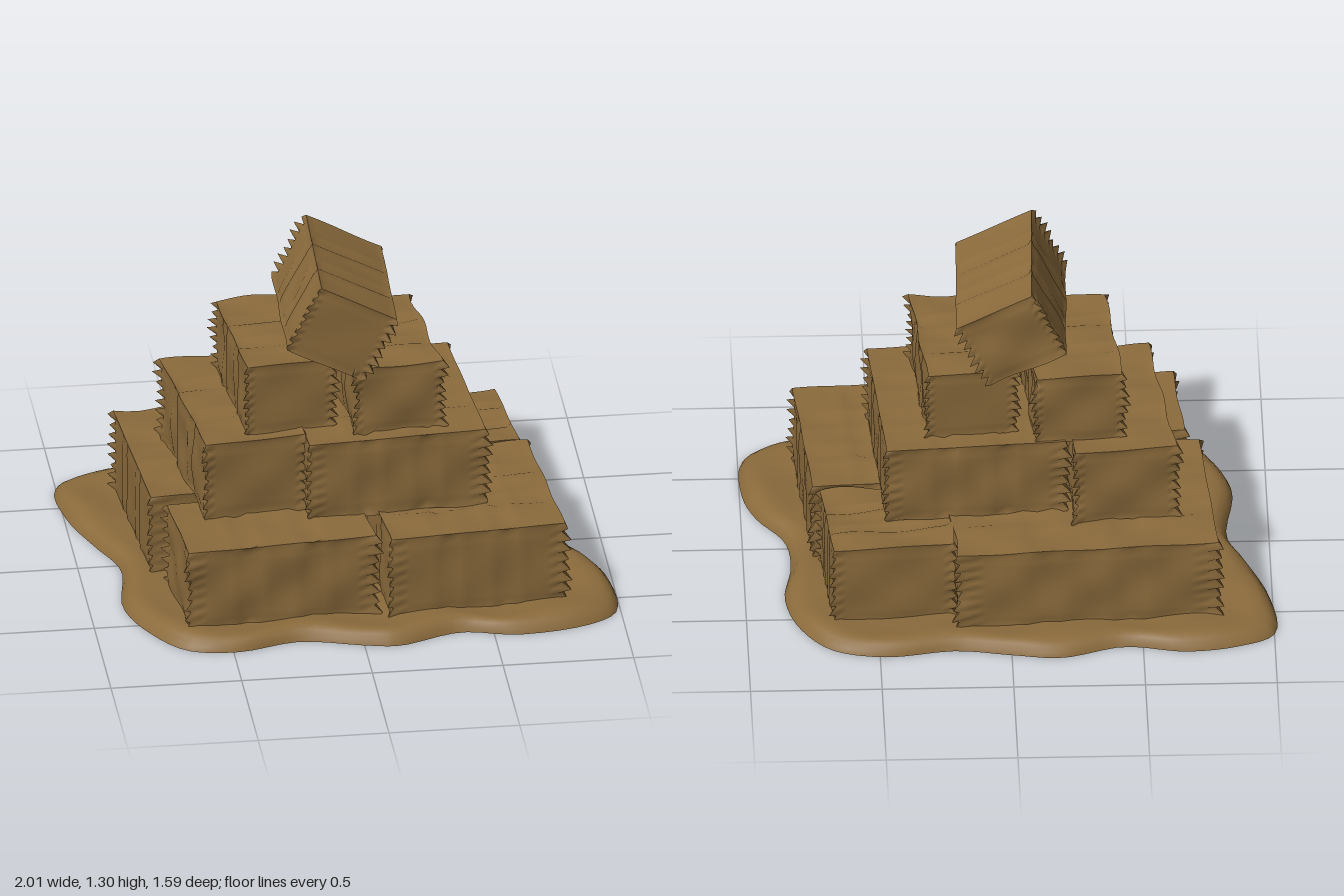
import * as THREE from 'three';

const straw = new THREE.MeshStandardMaterial({ color: 0x8b6b3c });
straw.name = 'straw';

const ripple = (x, y, z, s) =>
  Math.sin(x * 17 + s * 2.1) * Math.sin(y * 23 + s) * Math.cos(z * 19 + s * 1.3);

// Depth of the binding at a third and two thirds of a length: a groove between two swollen rows
function binding(i, n) {
  const d = Math.min(Math.abs(i - n / 3), Math.abs(i - (2 * n) / 3));
  return d < 0.1 ? -0.008 : d < 1.1 ? 0.004 : 0;
}

// A pillowy block with pinched seams, binding grooves and frayed upright corners
function baleGeometry(w, h, d, seed, alongX, alongZ) {
  const nx = 18, ny = 16, nz = 18;
  const geo = new THREE.BoxGeometry(w, h, d, nx, ny, nz);
  const p = geo.attributes.position;
  for (let k = 0; k < p.count; k++) {
    const x = p.getX(k), y = p.getY(k), z = p.getZ(k);
    const u = (2 * x) / w, v = (2 * y) / h, t = (2 * z) / d;
    const i = Math.round(((u + 1) * nx) / 2);
    const j = Math.round(((v + 1) * ny) / 2);
    const l = Math.round(((t + 1) * nz) / 2);
    const onX = i === 0 || i === nx, onY = j === 0 || j === ny, onZ = l === 0 || l === nz;
    const faces = onX + onY + onZ;
    let push = 0.008 * ripple(x, y, z, seed) - 0.004;
    if (faces === 1) {
      if (alongZ && !onZ) push += binding(l, nz);
      if (alongX && !onX) push += binding(i, nx);
    } else {
      push += 0.003;
      if (onX && onZ && !onY) {
        const r = Math.abs(Math.sin(j * 12.99 + seed * 7.3 + i + l * 3));
        push += j % 2 ? 0.006 + 0.014 * r : -0.012;
      }
    }
    // Soft rounding toward the upper and lower rims
    const rim = onY || j === 1 || j === ny - 1 ? -0.003 : 0;
    p.setXYZ(k,
      x + (onX ? Math.sign(u) * (push + rim) : 0),
      y + (onY ? Math.sign(v) * push : 0),
      z + (onZ ? Math.sign(t) * (push + rim) : 0));
  }
  geo.computeVertexNormals();
  return geo;
}

// Uneven trampled mound under the stack
function moundGeometry() {
  const outline = [
    -1, -.66, -.86, -.74, -.66, -.77, -.43, -.73, -.19, -.8, 0, -.775, .21, -.74, .48, -.775,
    .68, -.72, .8, -.56, .85, -.35, .82, -.13, .84, .05, .94, .21, .99, .37, .98, .62,
    .86, .71, .59, .755, .375, .71, .13, .79, 0, .77, -.24, .71, -.48, .765, -.67, .73,
    -.8, .56, -.87, .35, -.84, .03, -.91, -.16, -.99, -.4,
  ];
  const pts = [];
  for (let i = 0; i < outline.length; i += 2) pts.push(new THREE.Vector3(outline[i], 0, outline[i + 1]));
  const curve = new THREE.CatmullRomCurve3(pts, true);
  const n = 120;
  const edge = curve.getPoints(n);
  // Scale and height of each ring, from the underside centre round to the top centre
  const rings = [[0, 0], [1, 0], [1, 0], [.99, .018], [.97, .038], [.94, .05], [.9, .053], [.84, .047], [.75, .043], [.5, .04], [0, .04]];
  const pos = [], idx = [];
  rings.forEach(([s, y], r) => {
    for (let i = 0; i <= n; i++) {
      const x = edge[i].x * s, z = edge[i].z * s;
      const bump = r > 3 && s > 0 ? 0.007 * Math.sin(x * 13 + 1) * Math.cos(z * 15) : 0;
      pos.push(x, y + bump, z);
    }
  });
  const row = n + 1;
  for (let r = 0; r < rings.length - 1; r++) {
    if (r === 1) continue;
    for (let i = 0; i < n; i++) {
      const a = r * row + i, b = a + row;
      idx.push(a, b, a + 1, a + 1, b, b + 1);
    }
  }
  const geo = new THREE.BufferGeometry();
  geo.setAttribute('position', new THREE.Float32BufferAttribute(pos, 3));
  geo.setIndex(idx);
  geo.computeVertexNormals();
  return geo;
}

export function createModel() {
  const model = new THREE.Group();
  model.name = 'strawBaleStack';

  const mound = new THREE.Mesh(moundGeometry(), straw);
  mound.name = 'mound';
  model.add(mound);

  // name, centre x y z, width, height, depth, turn, tilt, bindings across x / z
  const bales = [
    ['bottomBackBale', -.27, .195, -.245, 1, .34, .74, .07, 0, true, true],
    ['bottomFrontBale', -.31, .195, .4, .73, .34, .42, .08, 0, true, false],
    ['bottomLeftBale', .43, .195, .24, .68, .34, .71, .08, 0, true, true],
    ['bottomBackCornerBale', .46, .19, -.35, .47, .34, .44, .09, 0, false, true],
    ['middleRightBale', -.404, .515, -.035, .39, .32, .74, .115, 0, false, true],
    ['middleLeftBale', .15, .515, .01, .69, .32, .74, .075, 0, true, true],
    ['upperRightBale', -.245, .81, -.03, .34, .29, .58, .09, 0, false, true],
    ['upperLeftBale', .165, .805, .02, .34, .28, .58, .09, 0, false, true],
    ['topBale', -.02, 1.1, .02, .33, .29, .62, -.03, -.47, false, true],
  ];
  bales.forEach(([name, x, y, z, w, h, d, turn, tilt, alongX, alongZ], i) => {
    const bale = new THREE.Mesh(baleGeometry(w, h, d, i + 1, alongX, alongZ), straw);
    bale.name = name;
    bale.position.set(x, y, z);
    bale.rotation.set(0, turn, tilt);
    model.add(bale);
  });
  return model;
}
